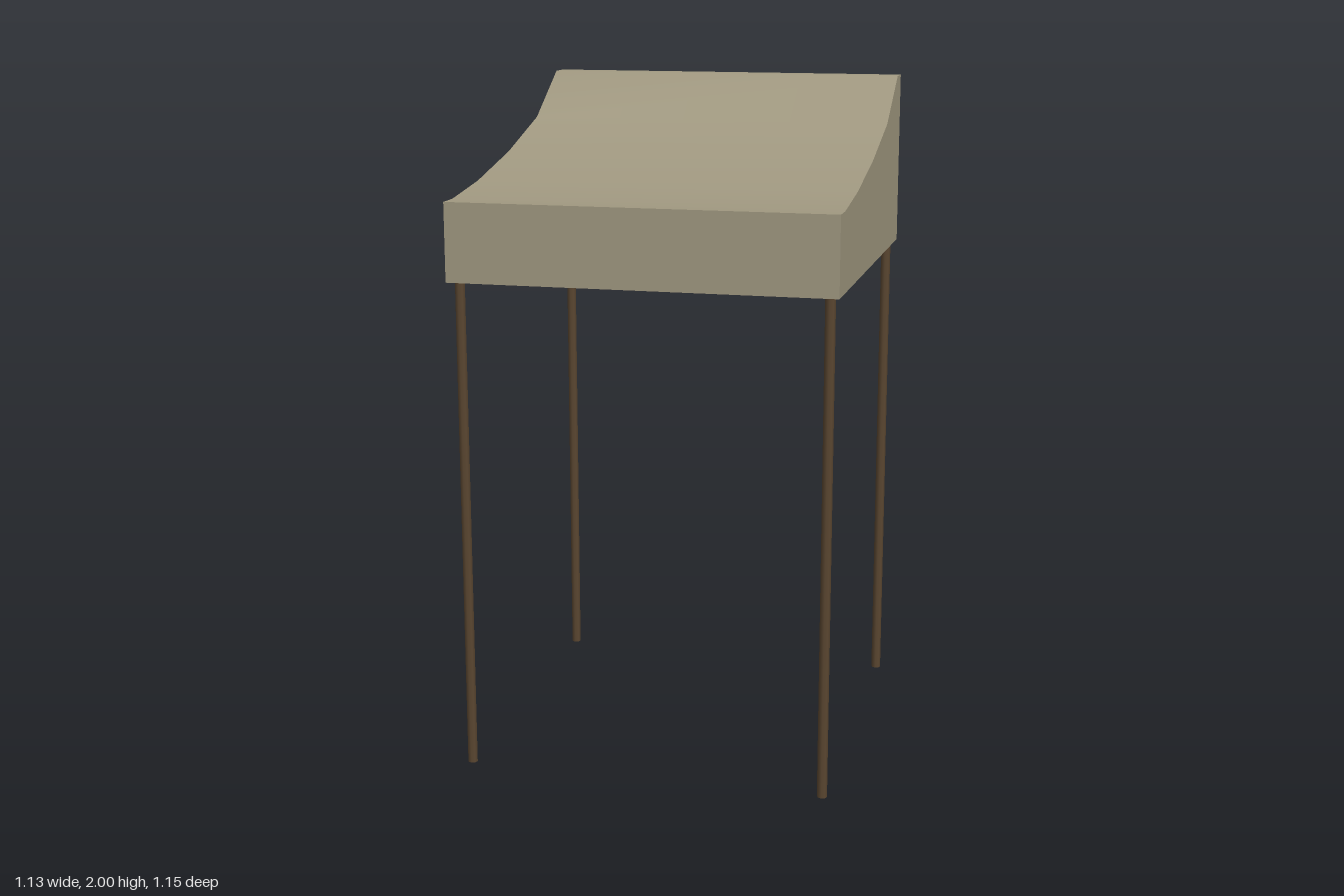
import * as THREE from 'three';
import { toCreasedNormals } from 'three/addons/utils/BufferGeometryUtils.js';

export function createModel() {
  const group = new THREE.Group();
  const upholstery = new THREE.MeshStandardMaterial({ color: 0xa09880 });
  upholstery.name = 'taupe upholstery';
  const wood = new THREE.MeshStandardMaterial({ color: 0x5a4630 });
  wood.name = 'dark wood';

  // Seat: side profile as (z, y), extruded across the width
  const width = 1.13;
  const profile = [
    [-0.573, 1.47], [0.573, 1.47], [0.573, 1.7], [0.5, 1.7], [0.285, 1.727],
    [0, 1.785], [-0.285, 1.867], [-0.5, 2], [-0.573, 2],
  ].map(([z, y]) => new THREE.Vector2(z, y));
  let seatGeometry = new THREE.ExtrudeGeometry(new THREE.Shape(profile), {
    depth: width, bevelEnabled: false,
  });
  seatGeometry.rotateY(-Math.PI / 2);
  seatGeometry.translate(width / 2, 0, 0);
  seatGeometry = toCreasedNormals(seatGeometry, 0.7);
  const seat = new THREE.Mesh(seatGeometry, upholstery);
  seat.name = 'seat';
  group.add(seat);

  // Four slim round legs
  const legHeight = 1.47;
  const legGeometry = new THREE.CylinderGeometry(0.015, 0.015, legHeight, 8);
  for (const [end, sz] of [['front', 1], ['back', -1]]) {
    for (const [side, sx] of [['Left', 1], ['Right', -1]]) {
      const leg = new THREE.Mesh(legGeometry, wood);
      leg.name = `${end}${side}Leg`;
      leg.position.set(sx * 0.535, legHeight / 2, sz * 0.538);
      group.add(leg);
    }
  }
  return group;
}
